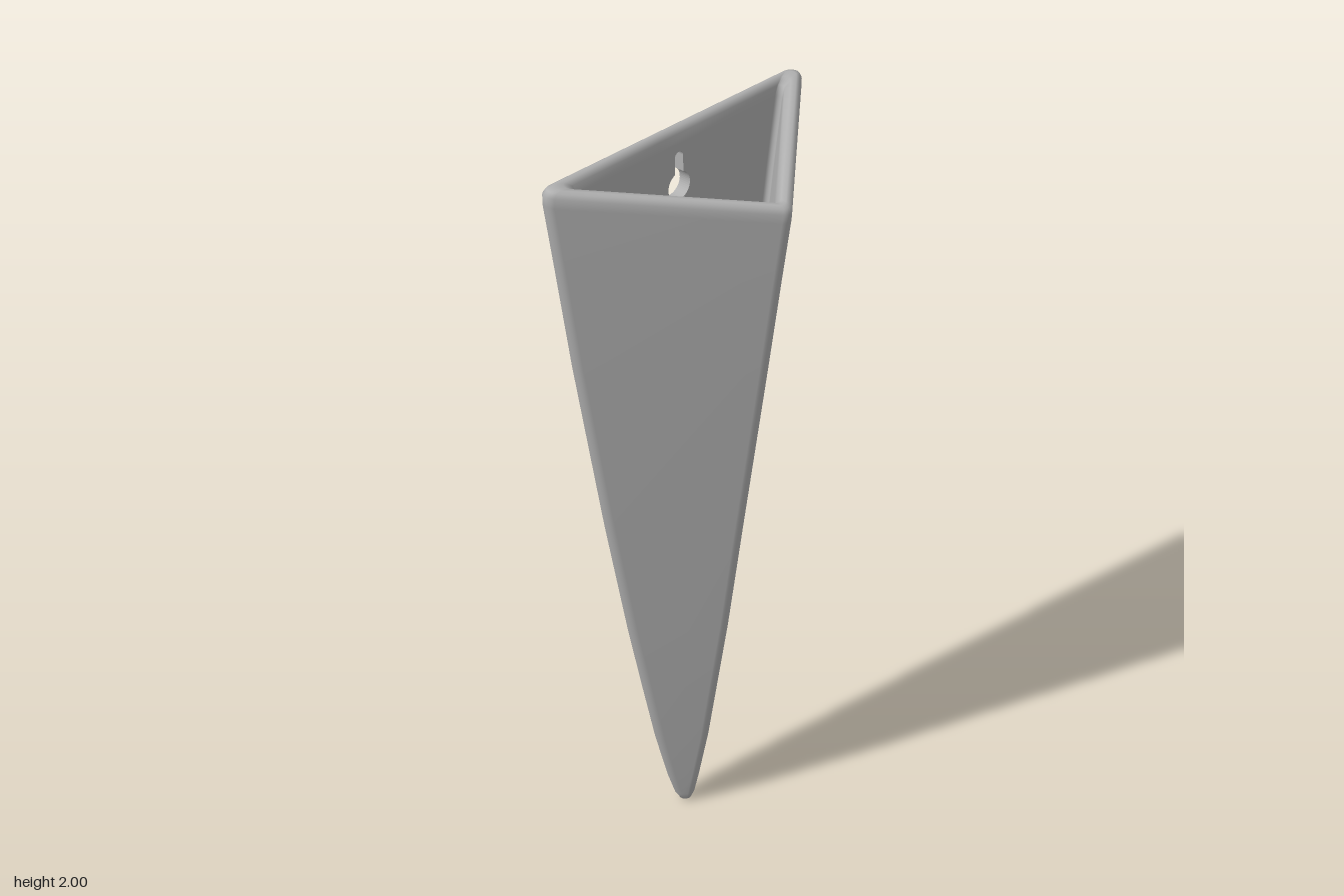
import * as THREE from 'three';

const ARC = 6;          // segments per rounded corner
const HOLE_LOW = 1.78;  // rows between which the hanger plate sits
const HOLE_HIGH = 1.96;
const HOLE_HALF = 0.06;

// Rows: height, half width, back z, front z, corner radius
const outerRows = [
  [0, 0, -0.155, -0.155, 0],
  [0.006, 0.016, -0.168, -0.141, 0.012],
  [0.03, 0.03, -0.178, -0.13, 0.019],
  [0.1, 0.053, -0.184, -0.113, 0.022],
  [0.25, 0.095, -0.186, -0.08, 0.024],
  [0.45, 0.141, -0.187, -0.045, 0.025],
  [0.65, 0.185, -0.188, -0.01, 0.025],
  [1.0, 0.255, -0.188, 0.043, 0.025],
  [1.5, 0.345, -0.188, 0.119, 0.025],
  [HOLE_LOW, 0.389, -0.188, 0.16, 0.025],
  [HOLE_HIGH, 0.418, -0.188, 0.187, 0.025],
];
const rimRows = [
  [1.985, 0.418, -0.187, 0.189, 0.025],
  [1.996, 0.41, -0.181, 0.182, 0.022],
  [2.0, 0.395, -0.173, 0.172, 0.018],
  [1.997, 0.37, -0.163, 0.158, 0.014],
  [1.985, 0.347, -0.156, 0.145, 0.01],
];
const innerRows = [
  [HOLE_HIGH, 0.338, -0.155, 0.138, 0.01],
  [HOLE_LOW, 0.309, -0.155, 0.11, 0.01],
  [1.5, 0.265, -0.153, 0.069, 0.01],
  [1.0, 0.175, -0.147, -0.007, 0.01],
  [0.65, 0.105, -0.141, -0.06, 0.009],
  [0.4, 0.045, -0.135, -0.102, 0.007],
  [0.25, 0, -0.128, -0.128, 0],
];

// Rounded triangle, from the back right of centre round to the back left
function section([h, w, b, f, r]) {
  const W = w - r, B = b + r, F = f - r;
  const side = Math.atan2(W, F - B);
  const p = Math.min(HOLE_HALF, W * 0.4);
  const pts = [[p, b]];
  const corner = (cx, cz, from, to) => {
    for (let i = 0; i <= ARC; i++) {
      const t = from + (to - from) * i / ARC;
      pts.push([cx + r * Math.cos(t), cz + r * Math.sin(t)]);
    }
  };
  corner(W, B, -Math.PI / 2, side);
  corner(0, F, side, Math.PI - side);
  corner(-W, B, Math.PI - side, Math.PI * 1.5);
  pts.push([-p, b]);
  // The mouth slopes down towards the front
  return pts.map(([x, z]) => [x, h - 0.116 * h * Math.max(0, z + 0.155), z]);
}

// Skin over the rows, leaving a gap in the back wall for the hanger plate
function loft(rows) {
  const rings = rows.map(section);
  const n = rings[0].length;
  const index = [];
  for (let j = 0; j < rows.length - 1; j++) {
    const low = Math.min(rows[j][0], rows[j + 1][0]);
    const high = Math.max(rows[j][0], rows[j + 1][0]);
    for (let i = 0; i < n; i++) {
      if (i === n - 1 && low === HOLE_LOW && high === HOLE_HIGH) continue;
      const a = j * n + i, b = j * n + (i + 1) % n;
      index.push(a, a + n, b, b, a + n, b + n);
    }
  }
  const geo = new THREE.BufferGeometry();
  geo.setAttribute('position', new THREE.Float32BufferAttribute(rings.flat(2), 3));
  geo.setIndex(index);
  geo.computeVertexNormals();
  return geo;
}

// Piece of back wall with a keyhole through it
function hangerPlate() {
  const plate = new THREE.Shape([
    new THREE.Vector2(-HOLE_HALF, HOLE_LOW), new THREE.Vector2(HOLE_HALF, HOLE_LOW),
    new THREE.Vector2(HOLE_HALF, HOLE_HIGH), new THREE.Vector2(-HOLE_HALF, HOLE_HIGH),
  ]);
  const slot = 0.014, y = 1.85, r = 0.036;
  const a = Math.acos(slot / r);
  const hole = new THREE.Path();
  hole.absarc(0, y, r, Math.PI - a, Math.PI * 2 + a, false);
  hole.lineTo(slot, 1.925);
  hole.absarc(0, 1.925, slot, 0, Math.PI, false);
  hole.closePath();
  plate.holes.push(hole);
  const geo = new THREE.ExtrudeGeometry(plate, { depth: 0.033, bevelEnabled: false, curveSegments: 20 });
  return geo.translate(0, 0, -0.188);
}

export function createModel() {
  const group = new THREE.Group();
  group.name = 'wallPocketVase';
  const glaze = new THREE.MeshStandardMaterial({ color: 0xb0b0b0 });
  glaze.name = 'grey glaze';

  const add = (name, geo) => {
    const mesh = new THREE.Mesh(geo, glaze);
    mesh.name = name;
    group.add(mesh);
  };
  add('vaseBody', loft([...outerRows, ...rimRows, ...innerRows]));
  add('keyholeHanger', hangerPlate());
  return group;
}
